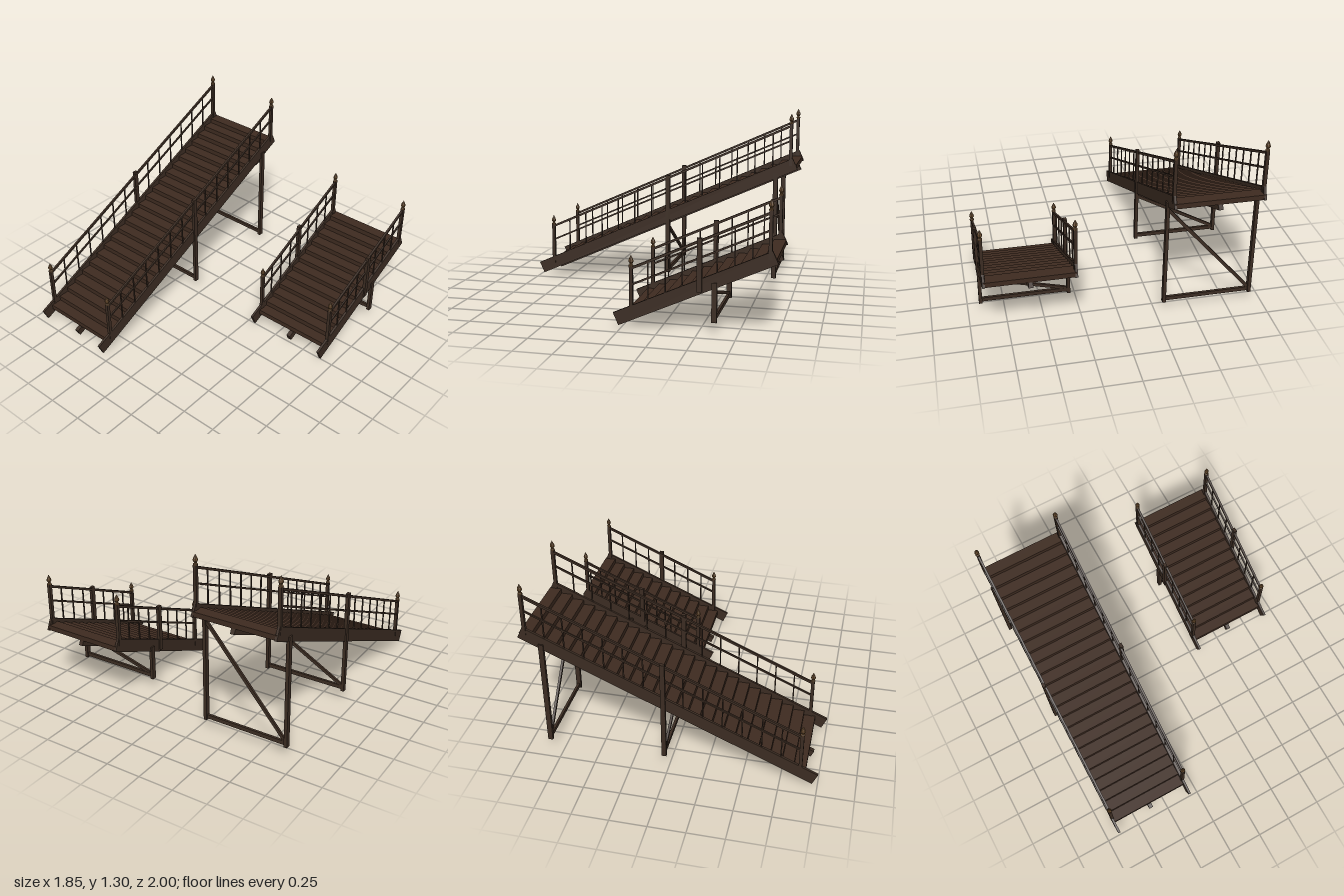
import * as THREE from 'three';

const RUN = 0.0792, RISE = 0.0354, SLOPE = RISE / RUN, SIDE = 0.295;

export function createModel() {
  const mat = (name, color) => {
    const m = new THREE.MeshStandardMaterial({ color });
    m.name = name;
    return m;
  };
  const tread = mat('tread wood', 0x3e2b20);
  const frame = mat('frame wood', 0x3b2c22);
  const brass = mat('aged brass', 0x6e5030);

  const box = (name, material, w, h, d, x, y, z) => {
    const m = new THREE.Mesh(new THREE.BoxGeometry(w, h, d), material);
    m.name = name;
    m.position.set(x, y, z);
    return m;
  };
  // Straight timber between two points, w wide and h high
  const bar = (name, a, b, w, h) => {
    const p = new THREE.Vector3(...a), q = new THREE.Vector3(...b);
    const m = box(name, frame, w, h, p.distanceTo(q), 0, 0, 0);
    m.position.copy(p).add(q).multiplyScalar(0.5);
    m.lookAt(q);
    return m;
  };
  // Upright timber from y0 to y1
  const post = (name, x, y0, y1, z, w, d = w) =>
    box(name, frame, w, y1 - y0, d, x, (y0 + y1) / 2, z);

  // Pointed cap with a collar, on a newel post
  const finialGeo = new THREE.LatheGeometry([
    [0, 0], [0.015, 0], [0.015, 0.007], [0.009, 0.011], [0.009, 0.016],
    [0.017, 0.03], [0.014, 0.043], [0.006, 0.06], [0, 0.072],
  ].map(([r, y]) => new THREE.Vector2(r, y)), 8).toNonIndexed();
  finialGeo.computeVertexNormals();

  // One flight: nosing of the first step at z0, a tall mid post, braced legs
  function flight(name, x, z0, steps, midZ, midBottom, legZs, balusters) {
    const g = new THREE.Group();
    g.name = name;
    g.position.x = x;
    const zEnd = z0 - steps * RUN;
    const along = (y, z) => y + (z0 - z) * SLOPE; // height on a line parallel to the flight
    const deckBeam = (n, bx, y, zA, zB, w, h) =>
      g.add(bar(n, [bx, along(y, zA), zA], [bx, along(y, zB), zB], w, h));

    // Steps
    for (let i = 0; i < steps; i++) {
      g.add(box('step', tread, SIDE * 2, RISE, RUN + 0.002,
        0, 0.08 + (i + 0.5) * RISE, z0 - (i + 0.5) * RUN));
    }
    // Centre beam
    deckBeam('centreBeam', 0, 0.0325, z0 + 0.02, zEnd - 0.005, 0.03, 0.05);

    const zA = z0 - 0.034, zB = zEnd + 0.04; // newel positions
    for (const s of [-1, 1]) {
      const sx = s * SIDE;
      deckBeam('stringer', sx, 0.09, z0 + 0.0675, zEnd + 0.007, 0.017, 0.088);
      deckBeam('handrail', sx, 0.38, zA, zB, 0.015, 0.016);
      deckBeam('middleRail', sx, 0.273, zA, zB, 0.011, 0.012);

      // Newel posts with finials
      for (const z of [zA, zB]) {
        const top = along(0.395, z);
        g.add(post('newelPost', sx, along(0.09, z), top, z, 0.023));
        const f = new THREE.Mesh(finialGeo, brass);
        f.name = 'finial';
        f.position.set(sx, top, z);
        g.add(f);
      }
      g.add(post('midPost', s * 0.302, midBottom, along(0.402, midZ), midZ, 0.023, 0.032));

      // Balusters in each half of the railing
      for (const [a, b] of [[zA, midZ], [midZ, zB]]) {
        for (let i = 1; i <= balusters; i++) {
          const z = a + (b - a) * i / (balusters + 1);
          g.add(post('baluster', sx, along(0.12, z), along(0.38, z), z, 0.008));
        }
      }
    }

    // Leg frames with a foot bar and one diagonal brace
    for (const z of legZs) {
      const top = along(0.08, z);
      if (z !== midZ) {
        for (const s of [-1, 1]) g.add(post('leg', s * 0.302, 0.08, top, z, 0.023, 0.034));
      }
      g.add(bar('footBar', [-SIDE, 0.105, z], [SIDE, 0.105, z], 0.018, 0.028));
      g.add(bar('diagonalBrace', [SIDE, top - 0.06, z], [-SIDE, 0.115, z], 0.016, 0.022));
    }
    return g;
  }

  const model = new THREE.Group();
  model.name = 'stairs';
  model.add(
    flight('longFlight', -0.61, 0.915, 24, -0.035, 0.08, [-0.035, -0.84], 6),
    flight('shortFlight', 0.61, -0.0354, 12, -0.51, 0.27, [-0.605], 3),
  );
  return model;
}
